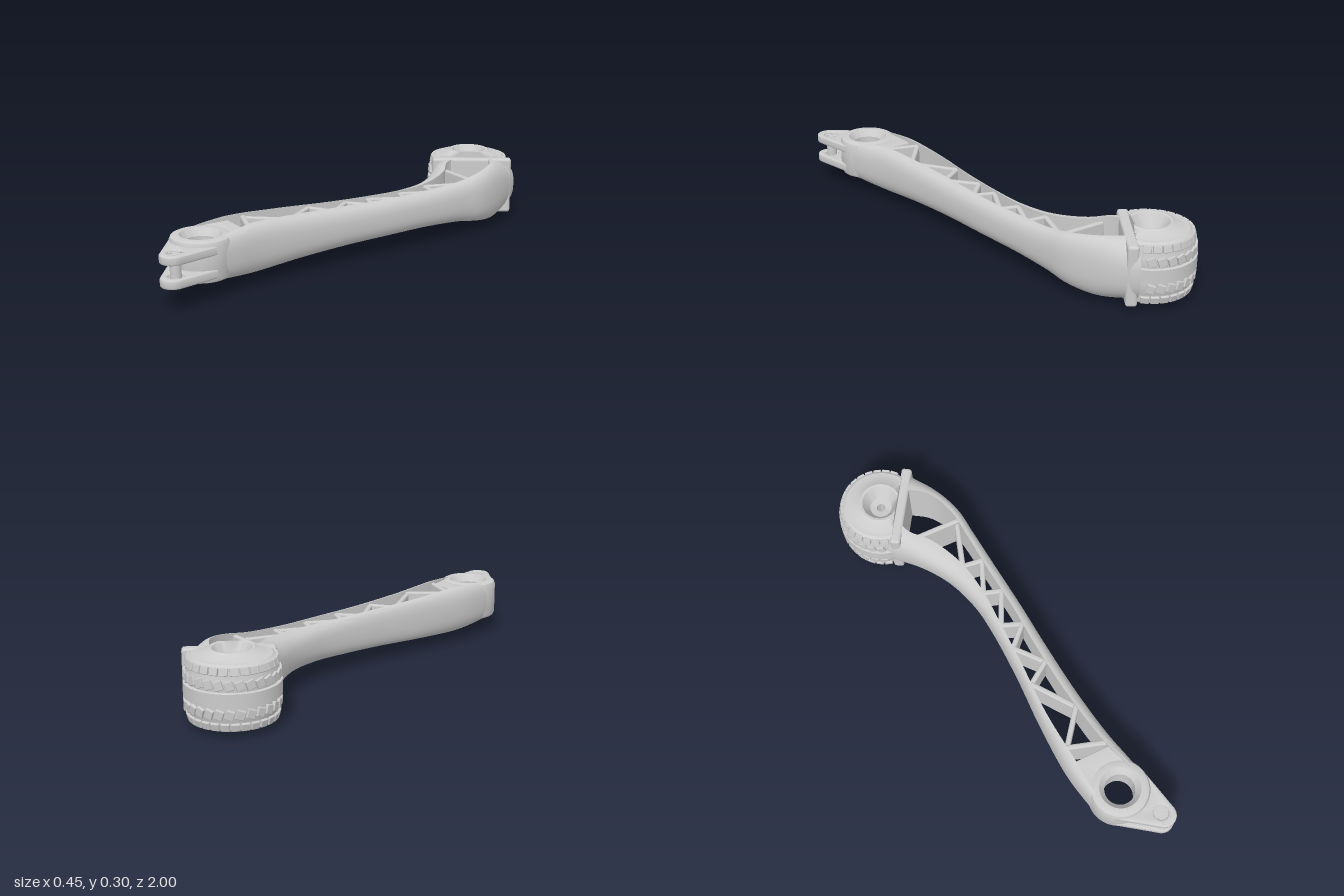
import * as THREE from 'three';
import { toCreasedNormals } from 'three/addons/utils/BufferGeometryUtils.js';
import { RoundedBoxGeometry } from 'three/addons/geometries/RoundedBoxGeometry.js';

const MID = 0.15; // height of the symmetry plane
const HUB = new THREE.Vector2(-0.04, -0.815); // wheel centre (x, z)
const EYE = new THREE.Vector2(-0.053, 0.76); // pivot eye centre (x, z)
const N = new THREE.Vector2(0.69, 0.724); // from the wheel towards the arm
const CUT = 0.07; // wheel is cut flat this far from its centre

// rail stations: outer x, outer z, inner x, inner z, half height
const RIGHT = [
  [0.15, -0.915, 0.07, -0.82, 0.124], [0.205, -0.74, 0.15, -0.73, 0.124], [0.223, -0.61, 0.178, -0.61, 0.108],
  [0.21, -0.5, 0.168, -0.5, 0.09], [0.185, -0.32, 0.14, -0.32, 0.08], [0.155, -0.11, 0.11, -0.11, 0.079],
  [0.12, 0.1, 0.07, 0.1, 0.083], [0.085, 0.34, 0.035, 0.34, 0.092], [0.066, 0.56, 0.02, 0.56, 0.1],
  [0.067, 0.68, 0.03, 0.68, 0.09], [0.066, 0.78, 0.04, 0.78, 0.078]];
const LEFT = [
  [-0.13, -0.665, -0.03, -0.7, 0.122], [-0.095, -0.615, -0.02, -0.64, 0.118], [-0.05, -0.53, 0.03, -0.56, 0.1],
  [-0.005, -0.4, 0.068, -0.4, 0.084], [0.01, -0.24, 0.058, -0.24, 0.079], [-0.005, -0.11, 0.03, -0.11, 0.079],
  [-0.05, 0.1, -0.02, 0.1, 0.083], [-0.115, 0.34, -0.083, 0.34, 0.092], [-0.163, 0.56, -0.12, 0.56, 0.1],
  [-0.172, 0.68, -0.14, 0.68, 0.09], [-0.172, 0.78, -0.15, 0.78, 0.078]];

// loft of D-shaped sections: flat inside, rounded outside
function railGeometry(st, flip) {
  const curve = (a, b) => new THREE.CatmullRomCurve3(st.map(s => new THREE.Vector3(s[a], s[4], s[b])));
  const outer = curve(0, 1), inner = curve(2, 3);
  const rows = 70, cols = 16, pos = [], idx = [];
  for (let i = 0; i <= rows; i++) {
    const o = outer.getPoint(i / rows), n = inner.getPoint(i / rows);
    for (let j = 0; j <= cols; j++) {
      const a = -Math.PI / 2 + Math.PI * j / cols, s = Math.sin(a);
      const t = j % cols ? Math.cos(a) : 0;
      pos.push(n.x + (o.x - n.x) * t, MID + Math.sign(s) * Math.abs(s) ** 0.75 * o.y, n.z + (o.z - n.z) * t);
    }
  }
  const w = cols + 1;
  for (let i = 0; i < rows; i++) for (let j = 0; j < w; j++) {
    const a = i * w + j, b = i * w + (j + 1) % w, c = a + w, d = b + w;
    if (flip) idx.push(a, c, b, b, c, d); else idx.push(a, b, c, b, d, c);
  }
  const g = new THREE.BufferGeometry();
  g.setAttribute('position', new THREE.Float32BufferAttribute(pos, 3));
  g.setIndex(idx);
  return toCreasedNormals(g, 0.7);
}

// point on the inner edge of a rail at a given z: (x, half height, z)
function innerPoint(st, z) {
  let k = 0;
  while (k < st.length - 2 && st[k + 1][3] < z) k++;
  const a = st[k], b = st[k + 1], t = (z - a[3]) / (b[3] - a[3]);
  const mix = i => a[i] + (b[i] - a[i]) * t;
  return new THREE.Vector3(mix(2), mix(4), z);
}

const lathe = (pts, seg) => new THREE.LatheGeometry(pts.map(p => new THREE.Vector2(...p)), seg);

// plate from a plan (x, z) shape between two heights
function plate(shape, y0, y1, bevel) {
  const g = new THREE.ExtrudeGeometry(shape, {
    depth: y1 - y0 - 2 * bevel, bevelEnabled: bevel > 0, bevelSize: bevel, bevelOffset: -bevel,
    bevelThickness: bevel, bevelSegments: 3, curveSegments: 24 });
  return toCreasedNormals(g.rotateX(Math.PI / 2).translate(0, y1 - bevel, 0), 0.7);
}

export function createModel() {
  const model = new THREE.Group();
  const mat = new THREE.MeshStandardMaterial({ color: 0xcccccc });
  const add = (name, geo, parent = model) => {
    const m = new THREE.Mesh(geo, mat);
    m.name = name;
    parent.add(m);
    return m;
  };
  const group = name => {
    const g = new THREE.Group();
    g.name = name;
    model.add(g);
    return g;
  };

  // arm rails
  add('outerRail', railGeometry(RIGHT, false));
  add('innerRail', railGeometry(LEFT, true));

  // zigzag truss, alternating left and right nodes
  const truss = group('truss');
  const nodes = [-0.61, -0.565, -0.39, -0.36, -0.24, -0.2, -0.08, -0.03, 0.03, 0.16, 0.2, 0.39, 0.5, 0.58];
  for (let i = 0; i < nodes.length - 1; i++) {
    const a = innerPoint(i % 2 ? RIGHT : LEFT, nodes[i]);
    const b = innerPoint(i % 2 ? LEFT : RIGHT, nodes[i + 1]);
    const h = Math.min(a.y, b.y) - 0.008;
    const len = Math.hypot(b.x - a.x, b.z - a.z) + 0.022;
    const s = add('strut', new RoundedBoxGeometry(len, 2 * h, 0.022, 2, 0.008), truss);
    s.position.set((a.x + b.x) / 2, MID, (a.z + b.z) / 2);
    s.rotation.y = -Math.atan2(b.z - a.z, b.x - a.x);
  }

  // neck joining the rails to the pivot eye
  const neck = new THREE.Shape();
  neck.moveTo(-0.14, 0.56);
  neck.lineTo(0.035, 0.6);
  neck.lineTo(0.05, 0.76);
  neck.absarc(EYE.x, EYE.y, 0.1, 0, -Math.PI, true);
  add('neck', plate(neck, 0.069, 0.231, 0.006));

  // pivot eye with a chamfered bore
  const eye = add('pivotEye', toCreasedNormals(lathe([
    [0.062, 0.205], [0.062, 0.098], [0.084, 0.068], [0.104, 0.068], [0.116, 0.074], [0.122, 0.088],
    [0.122, 0.215], [0.116, 0.229], [0.104, 0.235], [0.084, 0.235], [0.062, 0.205]], 56), 0.6));
  eye.position.set(EYE.x, 0, EYE.y);

  // forked lug with its pin
  const lug = group('forkLug');
  const prong = new THREE.Shape();
  prong.moveTo(EYE.x + 0.095, EYE.y);
  prong.lineTo(0.069, 0.78);
  prong.lineTo(0.065, 0.95);
  prong.absarc(0.015, 0.95, 0.05, 0, Math.PI * 0.8, false);
  prong.lineTo(-0.145, 0.84);
  prong.absarc(EYE.x, EYE.y, 0.095, Math.PI * 0.8, 0, true);
  const hole = new THREE.Path();
  hole.absarc(0.012, 0.935, 0.03, 0, Math.PI * 2, true);
  prong.holes.push(hole);
  for (const [y0, y1] of [[0.087, 0.123], [0.179, 0.215]]) add('prong', plate(prong, y0, y1, 0.007), lug);
  const pin = add('pin', new THREE.CylinderGeometry(0.022, 0.022, 0.116, 24), lug);
  pin.position.set(0.012, MID, 0.935);
  for (const y of [0.105, 0.197]) {
    add('pinSeat', new THREE.CylinderGeometry(0.031, 0.031, 0.02, 24), lug).position.set(0.012, y, 0.935);
    for (let k = 0; k < 3; k++) {
      const a = k * Math.PI * 2 / 3 + 0.5;
      add('pinLobe', new THREE.CylinderGeometry(0.007, 0.007, 0.03, 10), lug)
        .position.set(0.012 + 0.021 * Math.cos(a), y, 0.935 + 0.021 * Math.sin(a));
    }
  }

  // wheel, flattened against the clasp wall
  const wheel = group('wheel');
  wheel.position.set(HUB.x, 0, HUB.y);
  const half = [[0.185, 0], [0.185, 0.027], [0.172, 0.029], [0.172, 0.036], [0.174, 0.075], [0.168, 0.085],
    [0.168, 0.09], [0.162, 0.118], [0.15, 0.127], [0.125, 0.127], [0.085, 0.15], [0.075, 0.148], [0.045, 0.1], [0.018, 0.095]];
  const up = half.map(([r, y]) => [r, MID + y]);
  const down = half.slice(1).reverse().map(([r, y]) => [r, MID - y]);
  const body = lathe([[0.018, MID], ...down, ...up, [0.018, MID]], 96);
  const p = body.attributes.position;
  for (let i = 0; i < p.count; i++) {
    const over = p.getX(i) * N.x + p.getZ(i) * N.y - CUT;
    if (over > 0) p.setXYZ(i, p.getX(i) - over * N.x, p.getY(i), p.getZ(i) - over * N.y);
  }
  add('tyre', toCreasedNormals(body, 0.6), wheel);

  // tread blocks: a slanted row and a shoulder row on each side
  const COUNT = 28;
  for (const side of [-1, 1]) for (let k = 0; k < COUNT; k++) {
    const a = k * Math.PI * 2 / COUNT;
    const rows = [[0.0555, 0.174, 0.036, 0.33, 0.05], [0.1045, 0.165, 0.03, 0, 0.26]];
    rows.forEach(([y, r, h, twist, lean], n) => {
      const b = a + n * Math.PI / COUNT;
      if (Math.cos(b) * N.x + Math.sin(b) * N.y > 0.3) return;
      const g = new RoundedBoxGeometry(0.018, h, 0.033, 1, 0.003);
      g.rotateX(side * twist).rotateZ(side * lean).translate(r, 0, 0).rotateY(-b);
      add('treadBlock', g, wheel).position.y = MID + side * y;
    });
  }

  // clasp wall holding the wheel
  const wall = add('claspWall', new RoundedBoxGeometry(0.355, 0.25, 0.045, 3, 0.012));
  wall.position.set(HUB.x + N.x * 0.086 + 0.007, MID, HUB.y + N.y * 0.086 - 0.007);
  wall.rotation.y = Math.atan2(N.x, N.y);
  return model;
}
